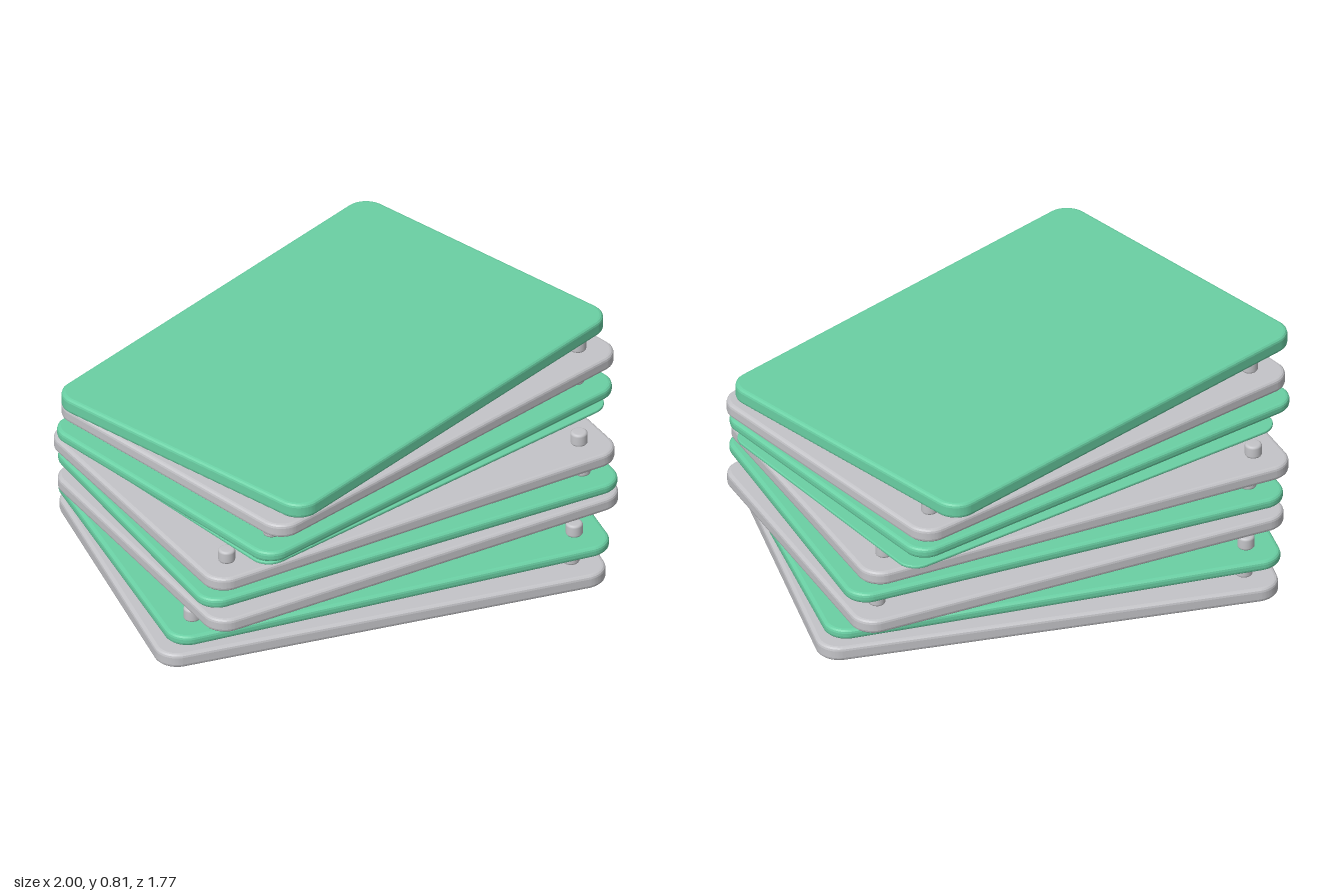
import * as THREE from 'three';
import { toCreasedNormals } from 'three/addons/utils/BufferGeometryUtils.js';

const green = new THREE.MeshStandardMaterial({ color: 0x6ad0a4 });
green.name = 'mint green';
const grey = new THREE.MeshStandardMaterial({ color: 0xc4c4c8 });
grey.name = 'light grey';

const HALF_W = 0.848, HALF_D = 0.587, CORNER = 0.085;
const POST_X = 0.733, POST_Z = 0.472, POST_R = 0.031;

// Plates from the bottom up: underside, top, centre x and z, turn in degrees, inset
const plates = [
  { y0: 0.0, y1: 0.056, x: -0.012, z: 0.011, turn: -2.0, mat: grey },
  { y0: 0.108, y1: 0.148, x: -0.008, z: 0.012, turn: 0.5, mat: green },
  { y0: 0.197, y1: 0.251, x: 0.014, z: -0.002, turn: 9.1, mat: grey },
  { y0: 0.302, y1: 0.342, x: 0.006, z: 0.016, turn: 7.1, mat: green },
  { y0: 0.391, y1: 0.445, x: -0.008, z: 0.016, turn: 9.8, mat: grey },
  { y0: 0.494, y1: 0.506, x: 0.016, z: -0.005, turn: 19.4, mat: green, inset: 0.035 },
  { y0: 0.554, y1: 0.595, x: -0.006, z: 0.014, turn: 20.9, mat: green },
  { y0: 0.644, y1: 0.698, x: 0.014, z: -0.007, turn: 22.6, mat: grey },
  { y0: 0.748, y1: 0.808, x: -0.01, z: 0.004, turn: 27.7, mat: green },
];

// Rounded rectangle slab with softened edges, standing on y = 0
function slabGeometry(hw, hd, r, height) {
  const s = new THREE.Shape();
  s.absarc(hw - r, hd - r, r, 0, Math.PI / 2);
  s.absarc(r - hw, hd - r, r, Math.PI / 2, Math.PI);
  s.absarc(r - hw, r - hd, r, Math.PI, Math.PI * 1.5);
  s.absarc(hw - r, r - hd, r, Math.PI * 1.5, Math.PI * 2);
  const bevel = Math.min(0.014, height * 0.35);
  const geo = new THREE.ExtrudeGeometry(s, {
    depth: height - 2 * bevel, curveSegments: 12,
    bevelThickness: bevel, bevelSize: bevel, bevelOffset: -bevel, bevelSegments: 3,
  });
  geo.translate(0, 0, bevel);
  geo.rotateX(-Math.PI / 2);
  return toCreasedNormals(geo, 0.2);
}

// Short spacer post with rounded ends
function postGeometry(height) {
  const e = 0.01, pts = [new THREE.Vector2(0, 0)];
  for (let i = 0; i <= 4; i++) {
    const a = (i / 4) * Math.PI / 2;
    pts.push(new THREE.Vector2(POST_R - e + e * Math.sin(a), e - e * Math.cos(a)));
  }
  for (let i = 0; i <= 4; i++) {
    const a = (i / 4) * Math.PI / 2;
    pts.push(new THREE.Vector2(POST_R - e + e * Math.cos(a), height - e + e * Math.sin(a)));
  }
  pts.push(new THREE.Vector2(0, height));
  return new THREE.LatheGeometry(pts, 24);
}

export function createModel() {
  const model = new THREE.Group();
  model.name = 'twistedPlateStack';

  plates.forEach((p, i) => {
    const inset = p.inset ?? 0;
    const level = new THREE.Group();
    level.name = `level${i + 1}`;
    level.position.set(p.x, p.y0, p.z);
    level.rotation.y = THREE.MathUtils.degToRad(p.turn);
    model.add(level);

    const height = p.y1 - p.y0;
    const plate = new THREE.Mesh(
      slabGeometry(HALF_W - inset, HALF_D - inset, CORNER - inset * 0.3, height), p.mat);
    plate.name = 'plate';
    level.add(plate);

    // Four posts carry the next plate and turn with this one
    const next = plates[i + 1];
    if (!next) return;
    const geo = postGeometry(next.y0 - p.y1 + 0.002);
    for (const sx of [-1, 1]) for (const sz of [-1, 1]) {
      const post = new THREE.Mesh(geo, grey);
      post.name = 'spacerPost';
      post.position.set(sx * (POST_X - inset), height - 0.001, sz * (POST_Z - inset));
      level.add(post);
    }
  });
  return model;
}
